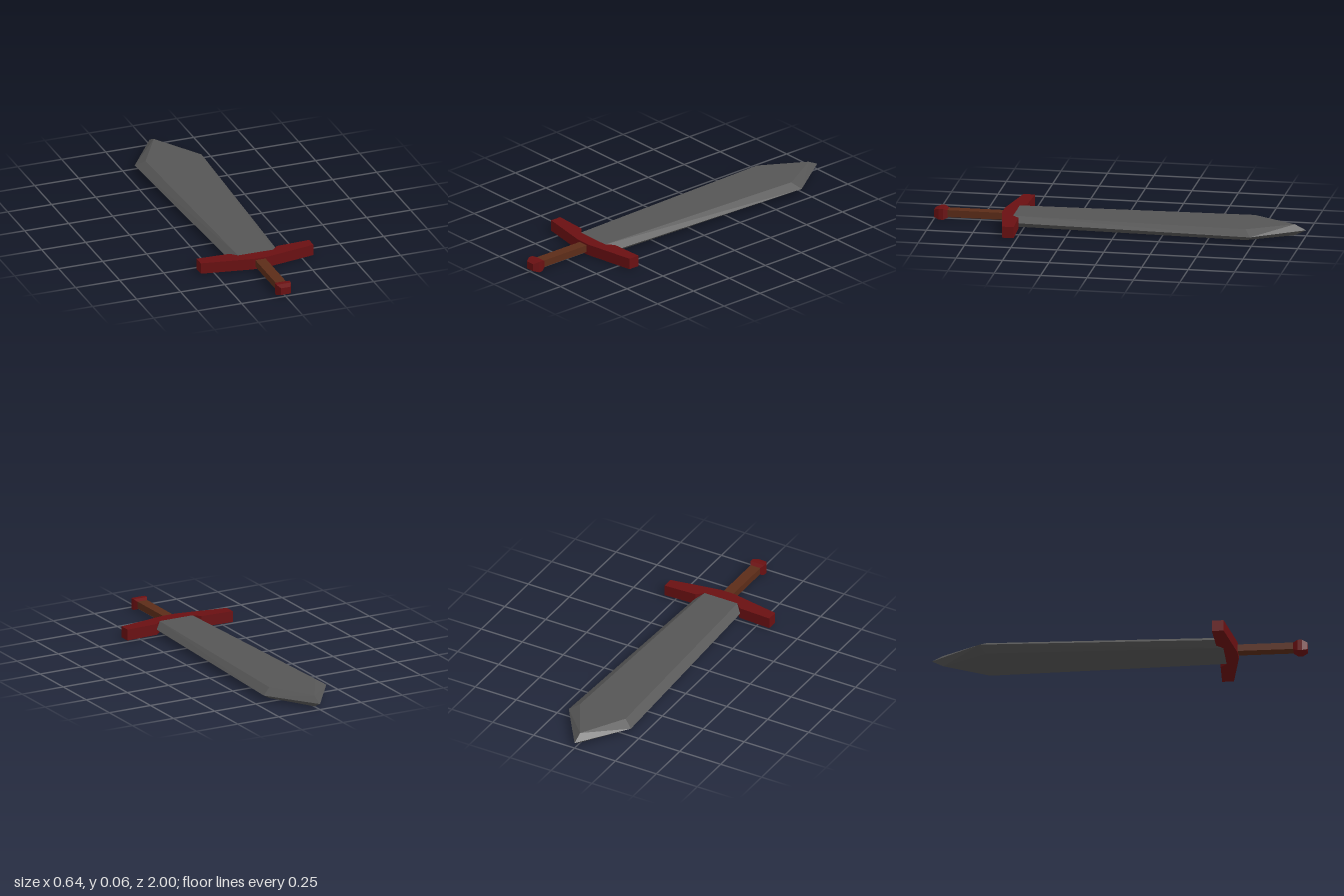
import * as THREE from 'three';
import { ConvexGeometry } from 'three/addons/geometries/ConvexGeometry.js';

const MID = 0.031, HALF = 0.03; // middle height and half thickness

function part(name, geometry, color) {
  const material = new THREE.MeshStandardMaterial({ color, flatShading: true });
  const mesh = new THREE.Mesh(geometry, material);
  mesh.name = name;
  return mesh;
}

// Faceted solid from points [x, height from the middle, z], mirrored in x and y
function mirroredHull(points) {
  const all = [];
  for (const [x, y, z] of points)
    for (const sx of x ? [1, -1] : [1])
      for (const sy of y ? [1, -1] : [1]) all.push(new THREE.Vector3(sx * x, MID + sy * y, z));
  return new ConvexGeometry(all);
}

export function createModel() {
  const group = new THREE.Group();
  group.name = 'sword';

  // Blade: flat faces, bevelled edges, pointed tip
  group.add(part('blade', mirroredHull([
    [0.10, HALF, 0.56], [0.14, HALF, -0.70], [0, HALF, -0.94],
    [0.14, 0, 0.52], [0.19, 0, -0.73], [0, 0, -1],
  ]), 0x555555));

  // Crossguard: swept outline, notched around the root of the blade
  const half = [[0.04, 0.63], [0.32, 0.58], [0.32, 0.517], [0.135, 0.525], [0.10, 0.56]];
  const outline = [...half, ...half.map(([x, z]) => [-x, z]).reverse()];
  const guard = new THREE.ExtrudeGeometry(
    new THREE.Shape(outline.map(([x, z]) => new THREE.Vector2(x, -z))),
    { depth: 0.061, bevelEnabled: false });
  guard.rotateX(-Math.PI / 2);
  group.add(part('crossguard', guard, 0x6a1012));

  // Grip
  const grip = new THREE.BoxGeometry(0.058, 0.038, 0.32);
  grip.translate(0, MID + 0.002, 0.78);
  group.add(part('grip', grip, 0x5c2c18));

  // Pommel: block tapering at both ends
  group.add(part('pommel', mirroredHull([
    [0.029, 0.02, 0.925], [0.041, HALF, 0.948], [0.041, HALF, 0.972], [0.026, 0.02, 1],
  ]), 0x6a1012));

  return group;
}
